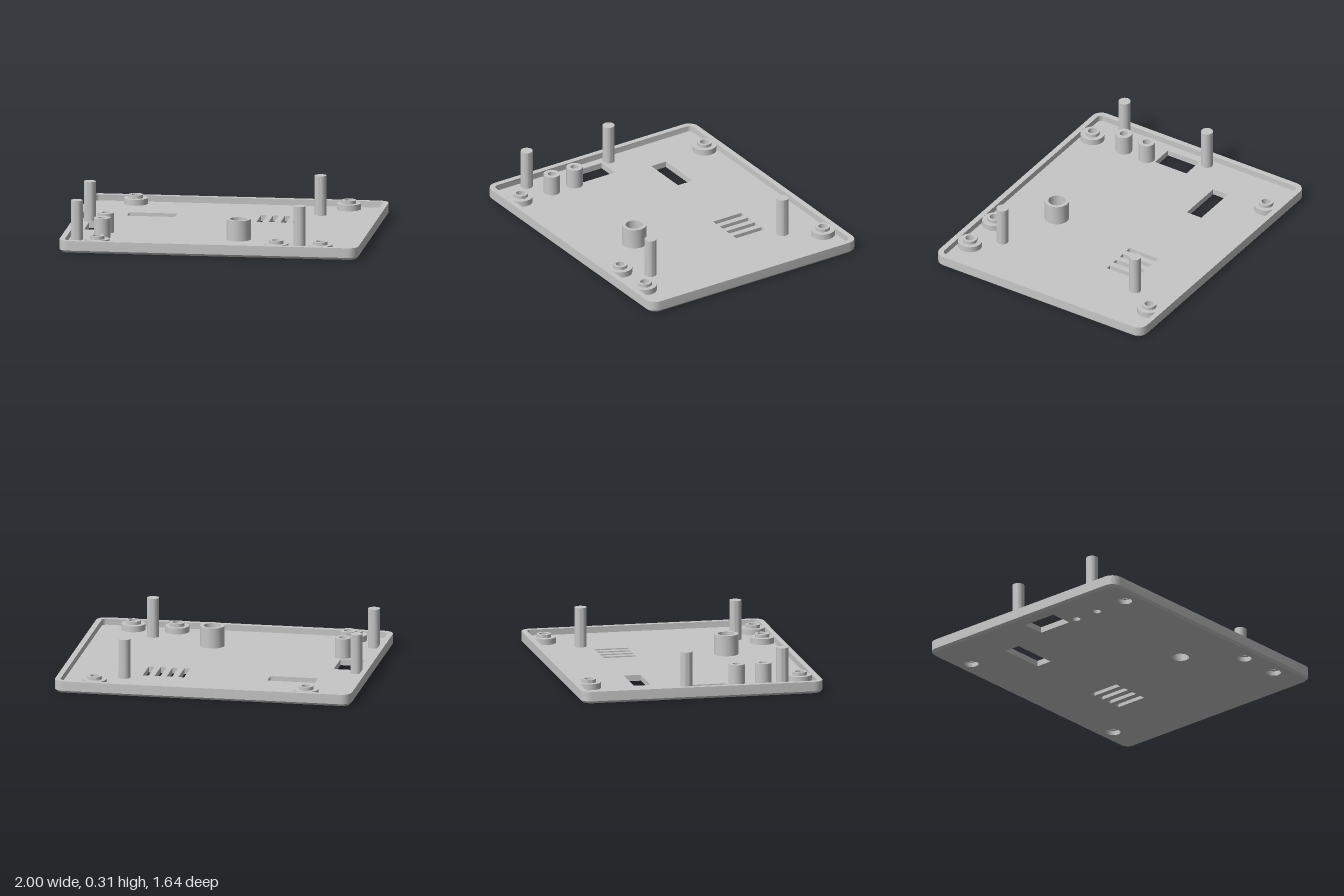
import * as THREE from 'three';
import { toCreasedNormals } from 'three/addons/utils/BufferGeometryUtils.js';

const HALF_X = 1, HALF_Z = 0.82, CORNER = 0.07;
const FLOOR = 0.04, RIM = 0.081, WALL = 0.037, CHAMFER = 0.016;
const CREASE = 0.6;

// Positions as [x, z]
const bosses = [[-0.685, -0.71], [0.74, -0.71], [-0.753, 0.705], [0.445, 0.705], [0.74, 0.705]];
const smallPosts = [[-0.753, 0.277], [-0.753, 0.457]];
const pins = [[0.58, -0.496], [0.58, 0.553], [-0.91, -0.097], [-0.91, 0.553]];
const collar = [0.152, 0.4];

// Rounded rectangle outline, moved inwards by d
function outline(d) {
  const r = CORNER - d, points = [], steps = 6;
  const signs = [[1, 1], [-1, 1], [-1, -1], [1, -1]];
  signs.forEach(([sx, sz], q) => {
    for (let i = 0; i <= steps; i++) {
      const a = (q + i / steps) * Math.PI / 2;
      points.push(new THREE.Vector2(
        sx * (HALF_X - CORNER) + r * Math.cos(a),
        sz * (HALF_Z - CORNER) + r * Math.sin(a)));
    }
  });
  return points;
}

// Surface through outlines given as [inset, y]
function loftRim(profile) {
  const position = [], index = [];
  let n = 0;
  profile.forEach(([d, y]) => {
    const loop = outline(d);
    n = loop.length;
    loop.forEach(p => position.push(p.x, y, p.y));
  });
  for (let k = 0; k < profile.length - 1; k++) {
    for (let i = 0; i < n; i++) {
      const j = (i + 1) % n, a = k * n + i, b = k * n + j;
      index.push(a, a + n, b, b, a + n, b + n);
    }
  }
  const geometry = new THREE.BufferGeometry();
  geometry.setAttribute('position', new THREE.Float32BufferAttribute(position, 3));
  geometry.setIndex(index);
  return toCreasedNormals(geometry, CREASE);
}

function rectHole(x0, x1, z0, z1) {
  return new THREE.Path([[x0, z0], [x0, z1], [x1, z1], [x1, z0]].map(p => new THREE.Vector2(...p)));
}

function roundHole([x, z], r) {
  return new THREE.Path().absarc(x, z, r, 0, Math.PI * 2, true);
}

function lathe(profile) {
  return toCreasedNormals(
    new THREE.LatheGeometry(profile.map(p => new THREE.Vector2(...p)), 32), CREASE);
}

// Hollow post standing on the floor
function tube(outer, inner, top) {
  return lathe([[outer, FLOOR], [outer, top], [inner, top], [inner, FLOOR]]);
}

export function createModel() {
  const model = new THREE.Group();
  const grey = new THREE.MeshStandardMaterial({ color: 0xc7c7c7 });
  grey.name = 'light grey plastic';

  const add = (name, geometry, [x, z] = [0, 0]) => {
    const mesh = new THREE.Mesh(geometry, grey);
    mesh.name = name;
    mesh.position.set(x, 0, z);
    model.add(mesh);
  };

  // Floor panel with windows, vent slots and screw holes
  const shape = new THREE.Shape(outline(CHAMFER));
  shape.holes.push(rectHole(-0.688, -0.367, -0.405, -0.29), rectHole(-0.907, -0.747, -0.04, 0.208));
  for (let i = 0; i < 4; i++) {
    const x = 0.191 + i * 0.08;
    shape.holes.push(rectHole(x, x + 0.038, -0.426, -0.2));
  }
  bosses.forEach(p => shape.holes.push(roundHole(p, 0.048)));
  smallPosts.forEach(p => shape.holes.push(roundHole(p, 0.027)));
  shape.holes.push(roundHole(collar, 0.057));
  const floor = new THREE.ExtrudeGeometry(shape, { depth: FLOOR, bevelEnabled: false, curveSegments: 16 });
  floor.rotateX(Math.PI / 2).translate(0, FLOOR, 0);
  add('floorPanel', toCreasedNormals(floor, CREASE));

  // Raised rim with a chamfered lower edge
  add('rim', loftRim([[CHAMFER, 0], [0, CHAMFER], [0, RIM], [WALL, RIM], [WALL, FLOOR]]));

  // Stepped screw bosses with a shallow recess from below
  const boss = lathe([
    [0.08, FLOOR], [0.08, 0.08], [0.048, 0.08], [0.048, 0.102],
    [0.03, 0.102], [0.03, 0.032], [0.048, 0.032]]);
  bosses.forEach(p => add('screwBoss', boss, p));

  // Hollow posts and the wide collar
  const post = tube(0.055, 0.027, 0.173);
  smallPosts.forEach(p => add('smallPost', post, p));
  add('collar', tube(0.081, 0.057, 0.177), collar);

  // Tall locating pins
  const pin = lathe([[0.04, FLOOR], [0.04, 0.306], [0, 0.306]]);
  pins.forEach(p => add('locatingPin', pin, p));

  return model;
}
